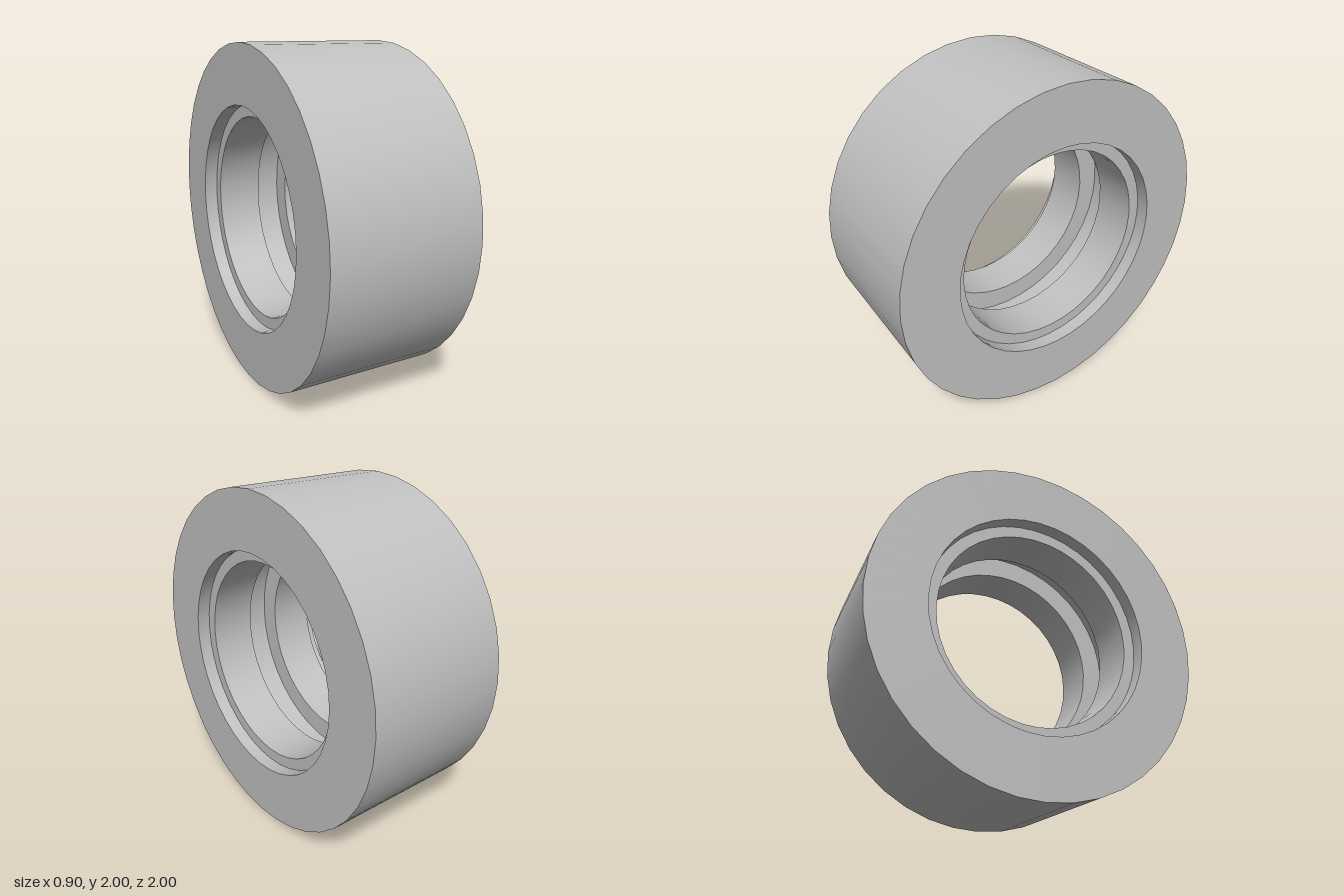
import * as THREE from 'three';
import { toCreasedNormals } from 'three/addons/utils/BufferGeometryUtils.js';

const HALF = 0.45;    // half the width along x
const OUTER = 1;      // outside radius
const BORE = 0.59;    // radius of the two inner ridges
const SEAT = 0.66;    // radius of the recess at each end
const GROOVE = 0.72;  // radius of the groove between the ridges
const SEAT_X = 0.37;  // where each end recess stops
const GROOVE_X = 0.1; // half the width of the groove

export function createModel() {
  const group = new THREE.Group();
  group.name = 'bushing';

  const steel = new THREE.MeshStandardMaterial({ color: 0xc0c0c0 });
  steel.name = 'grey steel';

  // Half of the inner profile: end recess, ridge, then central groove
  const half = [
    [SEAT, HALF], [SEAT, SEAT_X],
    [BORE, SEAT_X], [BORE, GROOVE_X],
    [GROOVE, GROOVE_X],
  ];
  const mirrored = half.map(([r, h]) => [r, -h]).reverse();
  const profile = [[OUTER, -HALF], [OUTER, HALF], ...half, ...mirrored, [OUTER, -HALF]]
    .map(([r, h]) => new THREE.Vector2(r, h));

  // Closed ring turned around the x axis, round walls smooth and rims sharp
  const turned = new THREE.LatheGeometry(profile, 40).rotateZ(Math.PI / 2);
  const ring = new THREE.Mesh(toCreasedNormals(turned, 0.6), steel);
  ring.name = 'ring';
  ring.position.y = OUTER;
  group.add(ring);

  return group;
}
